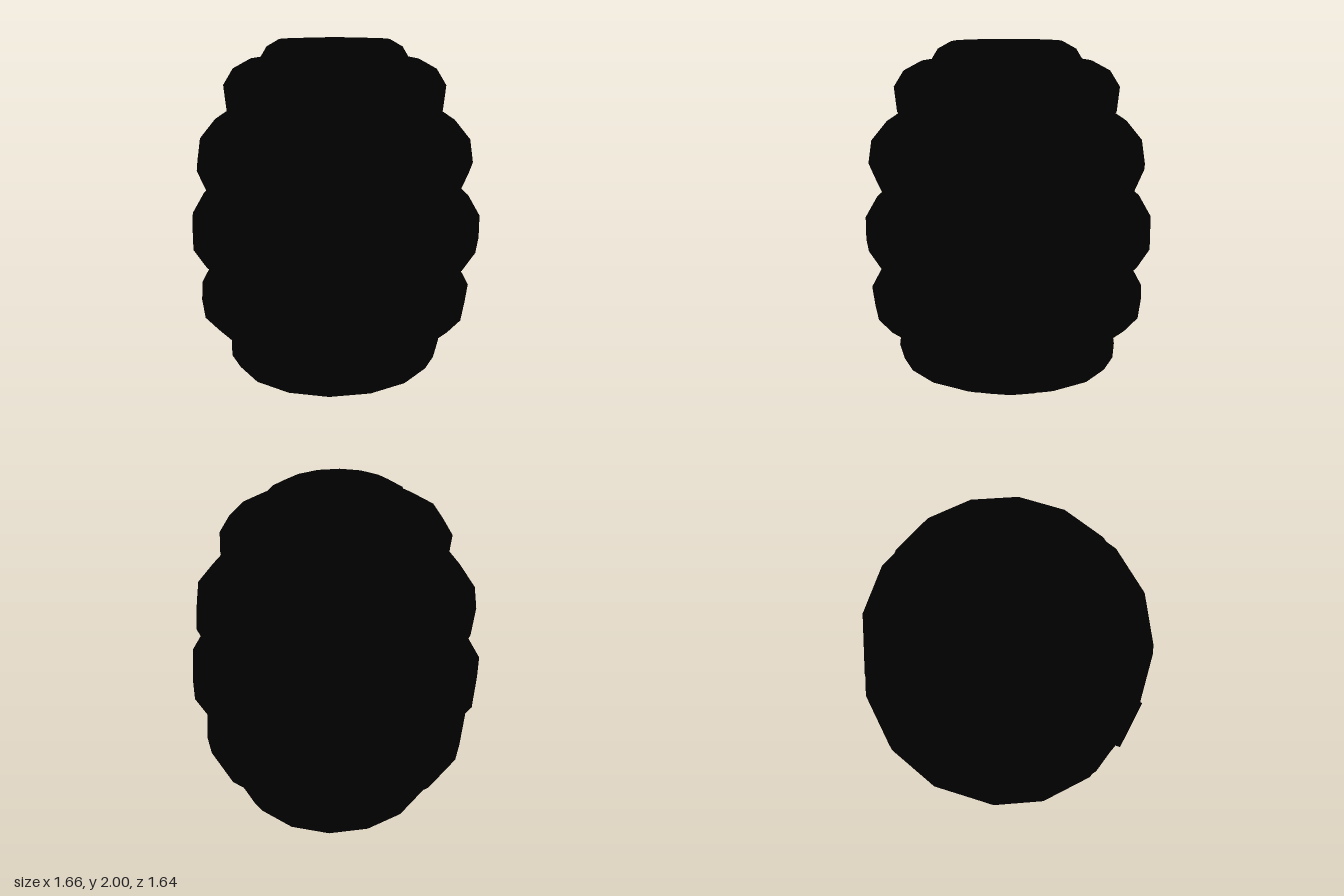
import * as THREE from 'three';

// Each lobe: z stretch, z shift and a half profile [radius, height] from bottom to top.
// Profiles run slightly past the grooves so neighbouring lobes overlap.
const LOBES = [
  { name: 'baseCap', stretch: 1.05, shift: 0.005, profile: [[0, 0.005], [0.24, 0.02], [0.34, 0.05], [0.4, 0.1], [0.41, 0.14]] },
  { name: 'lowestCoil', stretch: 1.04, shift: 0.01, profile: [[0.34, 0.1], [0.4, 0.1], [0.48, 0.11], [0.57, 0.15], [0.615, 0.23], [0.6, 0.345], [0.56, 0.39]] },
  { name: 'lowerCoil', stretch: 1.015, shift: 0.01, profile: [[0.53, 0.32], [0.6, 0.345], [0.69, 0.39], [0.765, 0.475], [0.78, 0.585], [0.71, 0.715], [0.67, 0.76]] },
  { name: 'middleCoil', stretch: 0.99, shift: 0, profile: [[0.66, 0.68], [0.71, 0.715], [0.76, 0.76], [0.83, 0.87], [0.83, 1.0], [0.76, 1.12], [0.71, 1.165], [0.66, 1.2]] },
  { name: 'upperCoil', stretch: 1.015, shift: 0.01, profile: [[0.67, 1.12], [0.71, 1.165], [0.73, 1.19], [0.78, 1.31], [0.76, 1.44], [0.67, 1.55], [0.595, 1.6], [0.53, 1.63]] },
  { name: 'highestCoil', stretch: 1.04, shift: 0.01, profile: [[0.57, 1.56], [0.6, 1.6], [0.615, 1.74], [0.56, 1.83], [0.46, 1.885], [0.4, 1.895], [0.34, 1.9]] },
  { name: 'topCap', stretch: 1.05, shift: 0.01, profile: [[0.41, 1.86], [0.4, 1.9], [0.37, 1.95], [0.3, 1.99], [0, 2.0]] },
];
const FRONT_LIMIT = 0.8; // the middle coil is flattened behind the entrance

function makeLobe({ name, stretch, shift, profile }, material) {
  const points = profile.map(([r, y]) => new THREE.Vector2(r, y));
  const geometry = new THREE.LatheGeometry(points, 16);
  geometry.scale(1, 1, stretch).translate(0, 0, shift);
  const position = geometry.attributes.position;
  for (let i = 0; i < position.count; i++) {
    position.setZ(i, Math.min(position.getZ(i), FRONT_LIMIT + 0.005));
  }
  const mesh = new THREE.Mesh(geometry, material);
  mesh.name = name;
  return mesh;
}

export function createModel() {
  const group = new THREE.Group();
  group.name = 'hive';
  const black = new THREE.MeshStandardMaterial({ color: 0x000000 });
  black.name = 'black';

  // Stacked rounded coils
  for (const lobe of LOBES) group.add(makeLobe(lobe, black));

  // Round entrance disc on the front of the middle coil
  const entrance = new THREE.Mesh(new THREE.CylinderGeometry(0.14, 0.15, 0.07, 16), black);
  entrance.name = 'entrance';
  entrance.rotation.x = Math.PI / 2 - 0.02;
  entrance.position.set(0, 0.94, 0.78);
  group.add(entrance);

  return group;
}
